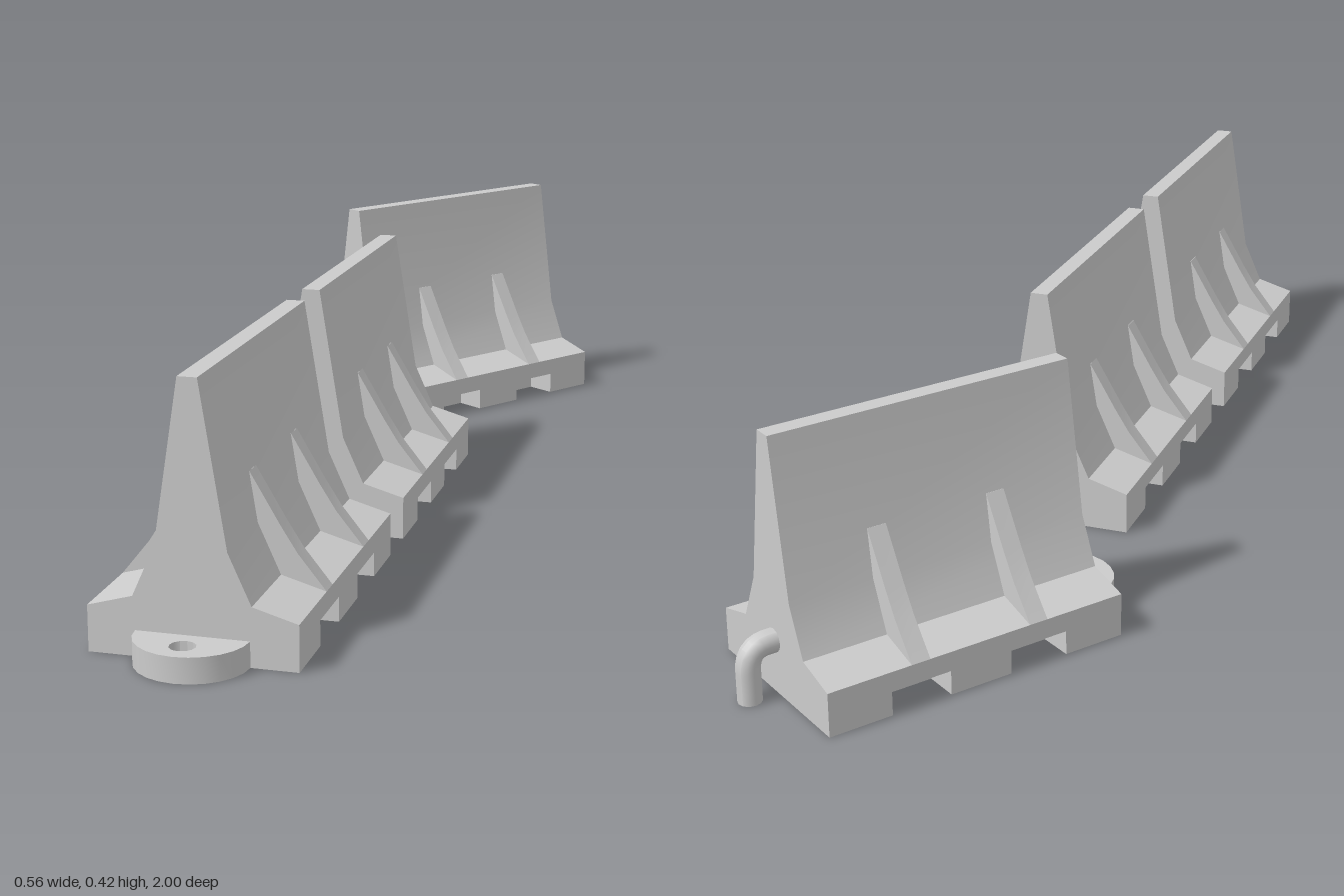
import * as THREE from 'three';
import { toCreasedNormals } from 'three/addons/utils/BufferGeometryUtils.js';

const HALF_W = 0.16, HALF_L = 0.262, NOTCH_Z = 0.105, NOTCH_H = 0.04;
const material = new THREE.MeshStandardMaterial({ color: 0xcccccc });

const shapeOf = (points) => new THREE.Shape(points.map(([x, y]) => new THREE.Vector2(x, y)));

function extrude(shape, depth) {
  return new THREE.ExtrudeGeometry(shape, { depth, bevelEnabled: false, curveSegments: 6 });
}

function addMesh(group, name, geometry) {
  const mesh = new THREE.Mesh(toCreasedNormals(geometry, 0.6), material);
  mesh.name = name;
  group.add(mesh);
  return mesh;
}

// Lower layer of the base: a plan outline with two forklift notches per side
function notchedFoot() {
  const inner = HALF_W - 0.058, hw = 0.051;
  const right = [[HALF_W, -HALF_L]];
  for (const z of [-NOTCH_Z, NOTCH_Z]) {
    right.push([HALF_W, z - hw], [inner, z - hw], [inner, z + hw], [HALF_W, z + hw]);
  }
  right.push([HALF_W, HALF_L]);
  const left = right.map(([x, z]) => [-x, -z]);
  return extrude(shapeOf([...right, ...left]), NOTCH_H).rotateX(-Math.PI / 2);
}

// Flared wall profile swept along the barrier
function wall() {
  const side = [[HALF_W, NOTCH_H], [HALF_W, 0.072], [0.09, 0.092], [0.055, 0.17], [0.015, 0.422]];
  const other = side.map(([x, y]) => [-x, y]).reverse();
  return extrude(shapeOf([...side, ...other]), HALF_L * 2).translate(0, 0, -HALF_L);
}

// Buttress rib following the flare, on the side given by s
function rib(s, z) {
  const points = [[0.03, 0.068], [HALF_W, 0.072], [0.116, 0.127], [0.09, 0.168], [0.043, 0.248], [0.03, 0.248]];
  return extrude(shapeOf(points.map(([x, y]) => [s * x, y])), 0.032).translate(0, 0, z - 0.016);
}

// Rounded front tab with a hole for the neighbour's hook
function tab() {
  const shape = new THREE.Shape();
  shape.moveTo(0.087, 0.02);
  shape.lineTo(0.087, 0);
  shape.absellipse(0, 0, 0.087, 0.083, 0, -Math.PI, true);
  shape.lineTo(-0.087, 0.02);
  shape.closePath();
  const hole = new THREE.Path();
  hole.absarc(0, -0.041, 0.02, 0, Math.PI * 2, false);
  shape.holes.push(hole);
  return extrude(shape, 0.04).rotateX(-Math.PI / 2).translate(0, 0, HALF_L);
}

// Bent rod at the back that drops into the next tab
function addHook(group) {
  const v = (y, z) => new THREE.Vector3(0, y, -HALF_L - z);
  const r = 0.019, y = 0.088, z = 0.045;
  const path = new THREE.CurvePath();
  path.add(new THREE.LineCurve3(v(y, -0.02), v(y, 0.012)));
  path.add(new THREE.QuadraticBezierCurve3(v(y, 0.012), v(y, z), v(y - 0.036, z)));
  path.add(new THREE.LineCurve3(v(y - 0.036, z), v(0, z)));
  addMesh(group, 'hook', new THREE.TubeGeometry(path, 16, r, 12));
  const cap = new THREE.CircleGeometry(r, 12).rotateX(Math.PI / 2).translate(0, 0, -HALF_L - z);
  addMesh(group, 'hookEnd', cap);
}

function makeBarrier() {
  const barrier = new THREE.Group();
  addMesh(barrier, 'notchedFoot', notchedFoot());
  addMesh(barrier, 'wall', wall());
  for (const s of [-1, 1]) {
    for (const z of [-NOTCH_Z, NOTCH_Z]) addMesh(barrier, 'rib', rib(s, z));
  }
  addMesh(barrier, 'tab', tab());
  addHook(barrier);
  return barrier;
}

export function createModel() {
  const model = new THREE.Group();
  model.name = 'roadBarriers';
  // Two barriers in line, the rear one turned: x, z, rotation
  const placements = [
    ['frontBarrier', -0.01, 0.655, 0],
    ['middleBarrier', -0.01, 0.043, 0],
    ['rearBarrier', 0.001, -0.695, -0.602],
  ];
  for (const [name, x, z, turn] of placements) {
    const barrier = makeBarrier();
    barrier.name = name;
    barrier.position.set(x, 0, z);
    barrier.rotation.y = turn;
    model.add(barrier);
  }
  return model;
}
